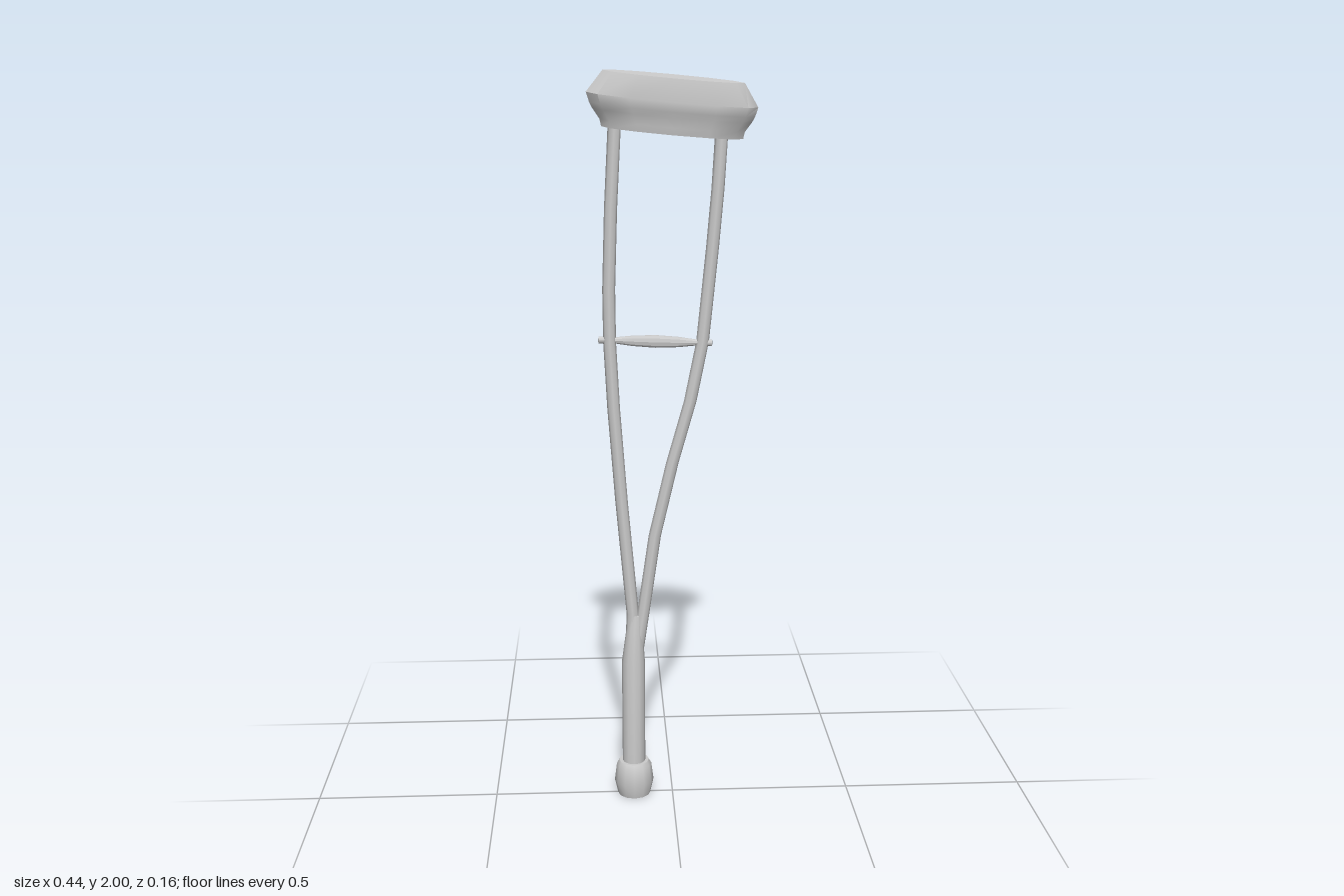
import * as THREE from 'three';
import { toCreasedNormals } from 'three/addons/utils/BufferGeometryUtils.js';

const material = new THREE.MeshStandardMaterial({ color: 0xcccccc });

// Skin over horizontal elliptical rings [x, y, radiusX, radiusZ], listed bottom to top, with caps.
function loft(rings, sides) {
  const pos = [], index = [];
  for (const [x, y, rx, rz] of rings) {
    for (let j = 0; j < sides; j++) {
      const a = (j / sides) * Math.PI * 2;
      pos.push(x + Math.cos(a) * rx, y, Math.sin(a) * rz);
    }
  }
  for (let i = 0; i < rings.length - 1; i++) {
    for (let j = 0; j < sides; j++) {
      const k = (j + 1) % sides;
      const a = i * sides + j, b = i * sides + k, c = a + sides, d = b + sides;
      index.push(a, c, b, b, c, d);
    }
  }
  const top = (rings.length - 1) * sides;
  for (let j = 1; j < sides - 1; j++) {
    index.push(0, j, j + 1, top, top + j + 1, top + j);
  }
  const geo = new THREE.BufferGeometry();
  geo.setAttribute('position', new THREE.Float32BufferAttribute(pos, 3));
  geo.setIndex(index);
  return geo;
}

function addPart(group, name, geometry, crease = 0.7) {
  const mesh = new THREE.Mesh(toCreasedNormals(geometry, crease), material);
  mesh.name = name;
  group.add(mesh);
  return mesh;
}

const profile = (points) => points.map(([r, y]) => new THREE.Vector2(r, y));

export function createModel() {
  const group = new THREE.Group();
  group.name = 'crutch';

  // Rubber foot
  const foot = new THREE.LatheGeometry(profile([
    [0, 0], [0.046, 0], [0.055, 0.04], [0.049, 0.088], [0.042, 0.1], [0, 0.1],
  ]), 12);
  addPart(group, 'rubberFoot', foot).position.x = -0.109;

  // Lower pole, narrowing where the two uprights join
  addPart(group, 'lowerPole', loft([
    [-0.109, 0.08, 0.032, 0.034], [-0.109, 0.4, 0.032, 0.034],
    [-0.105, 0.5, 0.022, 0.021], [-0.103, 0.535, 0.018, 0.017],
  ], 12));

  // Two bowed uprights
  const uprights = {
    rightUpright: [[-0.115, 0.4], [-0.11, 0.54], [-0.138, 0.86], [-0.157, 1.12],
      [-0.166, 1.3], [-0.167, 1.44], [-0.16, 1.65], [-0.148, 1.87]],
    leftUpright: [[-0.1, 0.41], [-0.08, 0.545], [-0.048, 0.765], [0, 0.97],
      [0.048, 1.14], [0.08, 1.3], [0.105, 1.55], [0.118, 1.7], [0.127, 1.85]],
  };
  for (const [name, path] of Object.entries(uprights)) {
    addPart(group, name, loft(path.map(([x, y]) => [x, y, 0.017, 0.017]), 8), 0.9);
  }

  // Spindle hand grip with a small knob at each end
  const grip = addPart(group, 'handGrip', new THREE.LatheGeometry(profile([
    [0, -0.152], [0.009, -0.15], [0.009, -0.136], [0.006, -0.13], [0.008, -0.11],
    [0.014, -0.06], [0.017, 0], [0.014, 0.06], [0.008, 0.11], [0.006, 0.13],
    [0.009, 0.136], [0.009, 0.15], [0, 0.152],
  ]), 10), 0.8);
  grip.position.set(-0.045, 1.302, 0);
  grip.rotation.z = -Math.PI / 2 - 0.035;

  // Underarm pad, sheared so it slopes down towards the left and the front
  const pad = loft([
    [0, 1.842, 0.182, 0.06], [0, 1.86, 0.186, 0.064], [0, 1.885, 0.204, 0.067],
    [0, 1.9, 0.212, 0.074], [0, 1.924, 0.22, 0.078], [0.004, 1.982, 0.181, 0.069],
  ], 12);
  const p = pad.attributes.position;
  for (let i = 0; i < p.count; i++) {
    p.setY(i, p.getY(i) - 0.09 * p.getX(i) - 0.08 * p.getZ(i));
  }
  addPart(group, 'underarmPad', pad);

  return group;
}
